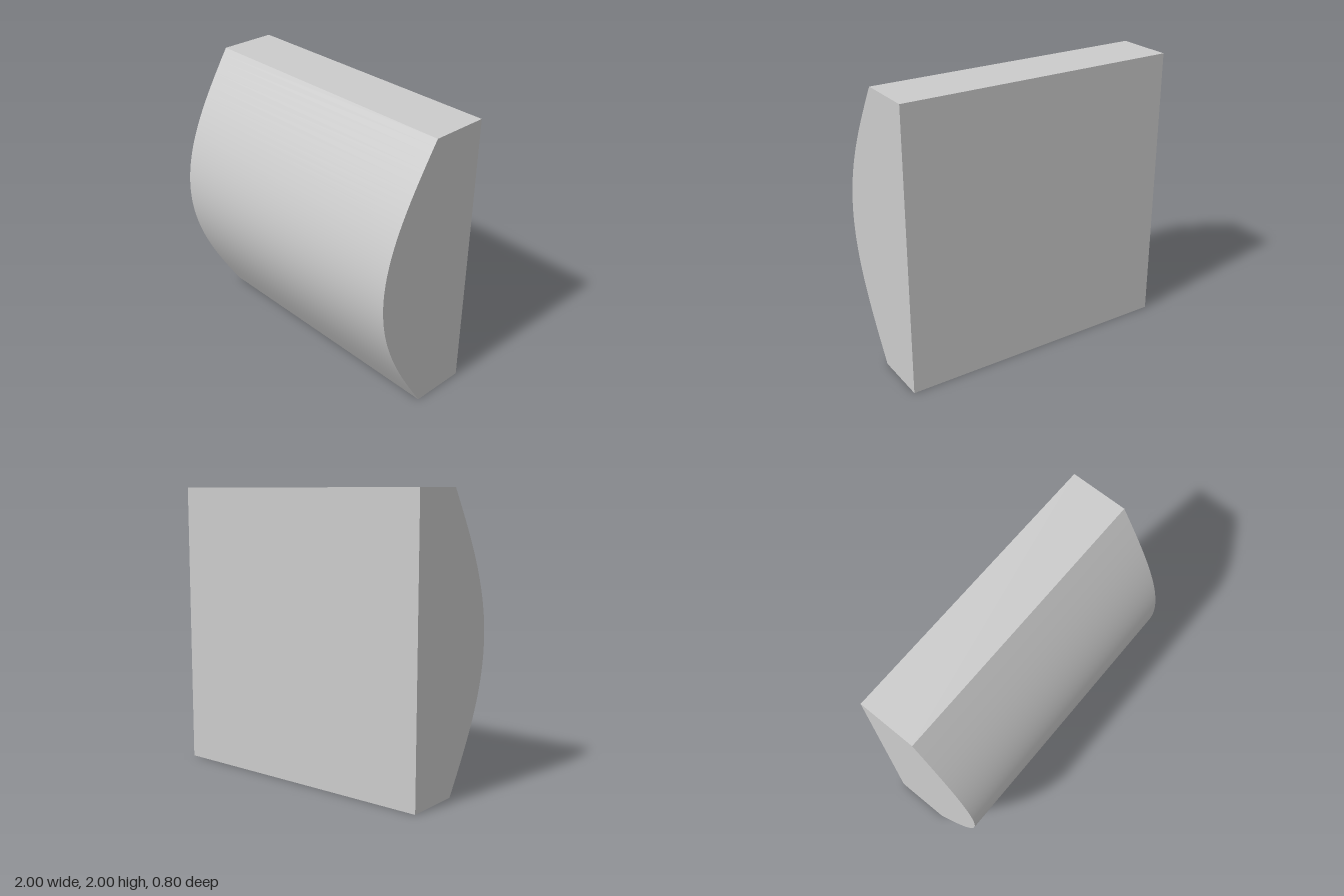
import * as THREE from 'three';
import { toCreasedNormals } from 'three/addons/utils/BufferGeometryUtils.js';

export function createModel() {
  const group = new THREE.Group();
  group.name = 'bowedPanel';

  const width = 2, height = 2, bulge = 0.4, backZ = -0.4, steps = 48;

  // Side profile (z across, y up): flat back, cosine-bowed front
  const profile = new THREE.Shape();
  profile.moveTo(backZ, 0);
  for (let i = 0; i <= steps; i++) {
    const t = i / steps;
    profile.lineTo(bulge * Math.sin(Math.PI * t), height * t);
  }
  profile.lineTo(backZ, height);
  profile.closePath();

  // Sweep the profile across the width, smooth only along the bow
  const solid = new THREE.ExtrudeGeometry(profile, { depth: width, bevelEnabled: false });
  solid.translate(0, 0, -width / 2);
  solid.rotateY(-Math.PI / 2);

  const panel = new THREE.Mesh(
    toCreasedNormals(solid, 0.5),
    new THREE.MeshStandardMaterial({ color: 0xcccccc })
  );
  panel.name = 'curvedFrontBlock';
  group.add(panel);
  return group;
}
